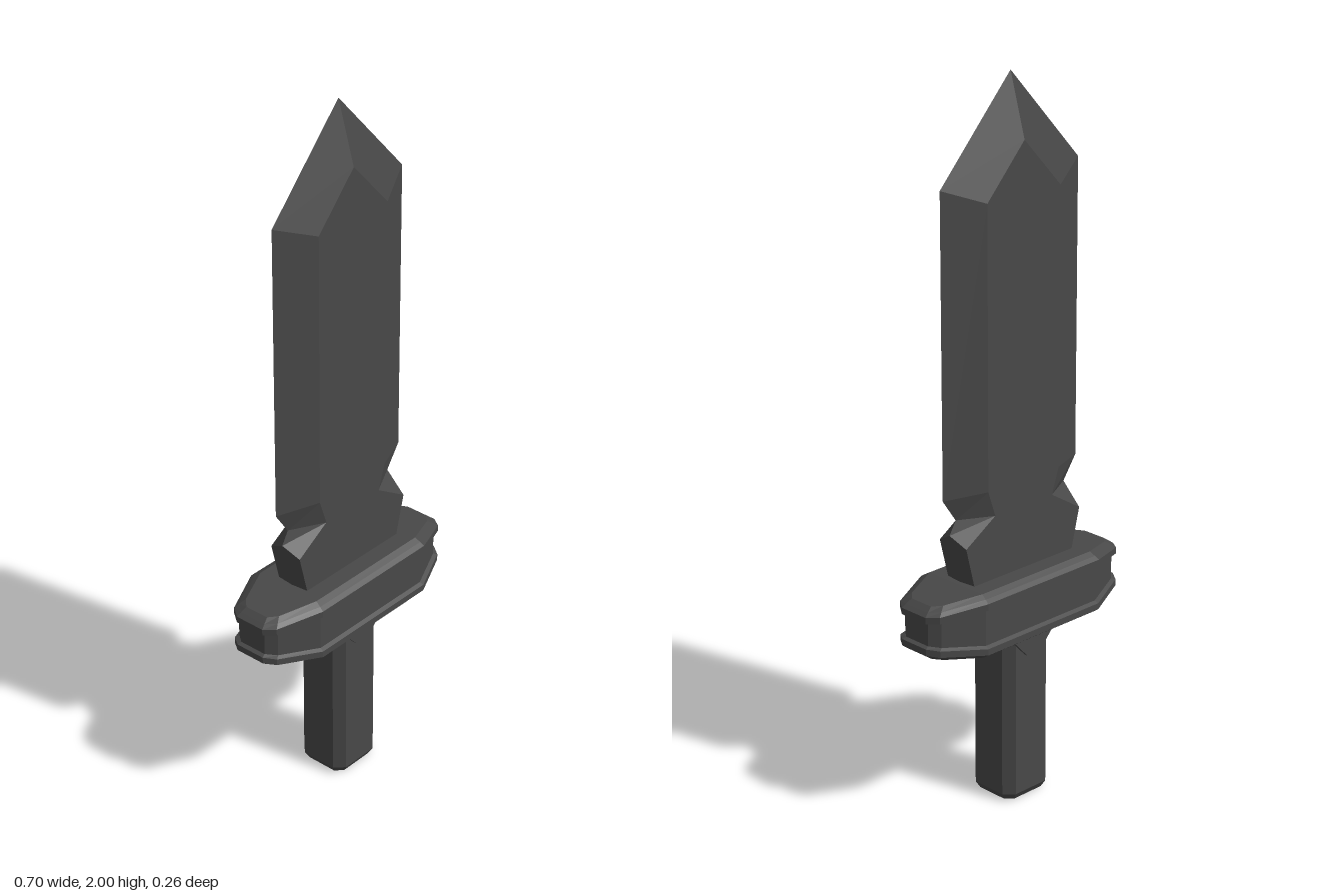
import * as THREE from 'three';

const material = new THREE.MeshStandardMaterial({ color: 0x484848, flatShading: true });

// Skin a stack of closed rings (bottom to top). Each ring starts at the left
// and runs left to right along the front, then back along the rear.
function loft(name, rings) {
  const pos = [];
  const area = new THREE.Triangle();
  const tri = (a, b, c) => {
    if (area.set(a, b, c).getArea() > 1e-8) pos.push(...a, ...b, ...c);
  };
  const quad = (a, b, c, d) => { tri(a, b, c); tri(a, c, d); };
  const n = rings[0].length;
  for (let r = 0; r + 1 < rings.length; r++) {
    const lo = rings[r], hi = rings[r + 1];
    for (let i = 0; i < n; i++) {
      const j = (i + 1) % n;
      quad(lo[i], lo[j], hi[j], hi[i]);
    }
  }
  // end caps, built as strips between front and rear points
  const bottom = rings[0], top = rings[rings.length - 1];
  for (let i = 0; i < n / 2 - 1; i++) {
    const k = n - 1 - i;
    quad(top[i], top[i + 1], top[k - 1], top[k]);
    quad(bottom[k], bottom[k - 1], bottom[i + 1], bottom[i]);
  }
  const geometry = new THREE.BufferGeometry();
  geometry.setAttribute('position', new THREE.Float32BufferAttribute(pos, 3));
  geometry.computeVertexNormals();
  const mesh = new THREE.Mesh(geometry, material);
  mesh.name = name;
  return mesh;
}

const v = (x, y, z) => new THREE.Vector3(x, y, z);

// Mirror a quarter outline (side to front, x and z positive) into a full ring.
function fullRing(quarter, yAt) {
  const left = quarter.map(([x, z]) => [-x, z]);
  const right = [...quarter].reverse();
  const front = [...left, ...right];
  const back = [...front].reverse().map(([x, z]) => [x, -z]);
  return [...front, ...back].map(([x, z]) => v(x, yAt(x), z));
}

// Blade: flat faces with bevelled edges, notched above the guard
function blade() {
  const t = 0.05;
  // [face half width, face y, edge half width, edge y]
  const rows = [
    [0.175, 0.64, 0.18, 0.64],
    [0.21, 0.78, 0.222, 0.808],
    [0.105, 0.845, 0.2, 0.845],
    [0.13, 0.918, 0.245, 0.91],
    [0.13, 1.69, 0.245, 1.735],
    [0, 1.83, 0, 2],
  ];
  return loft('blade', rows.map(([f, fy, e, ey]) => [
    v(-e, ey, 0), v(-f, fy, t), v(f, fy, t),
    v(e, ey, 0), v(f, fy, -t), v(-f, fy, -t),
  ]));
}

// Guard: elongated plate with two rims, a shallow groove and drooping ends
function guard() {
  const mid = 0.577;
  // [inset, height from the middle], upper half
  const upper = [[0.011, 0.05], [0, 0.056], [0, 0.074], [0.012, 0.082], [0.028, 0.091]];
  const profile = [...[...upper].reverse().map(([i, h]) => [i, -h]), ...upper];
  return loft('guard', profile.map(([inset, h]) => fullRing(
    [[0.352 - inset, 0.045 - inset * 0.3], [0.33 - inset, 0.076 - inset * 0.6], [0.207 - inset * 0.2, 0.128 - inset]],
    (x) => mid + h - Math.sign(h) * 0.02 * Math.max(0, Math.abs(x) - 0.2) / 0.15,
  )));
}

// Grip: square bar with chamfered corners and a small bevel at the foot
function grip() {
  const levels = [[0, 0.012], [0.02, 0], [0.5, 0]];
  return loft('grip', levels.map(([y, inset]) => fullRing(
    [[0.083 - inset, 0.052 - inset * 0.5], [0.057 - inset * 0.5, 0.078 - inset]],
    () => y,
  )));
}

// Collar: pointed block between the guard and the grip
function collar() {
  const shape = new THREE.Shape([
    [-0.085, 0.495], [-0.025, 0.43], [0, 0.42], [0.025, 0.43], [0.085, 0.495],
  ].map(([x, y]) => new THREE.Vector2(x, y)));
  const geometry = new THREE.ExtrudeGeometry(shape, { depth: 0.176, bevelEnabled: false });
  geometry.translate(0, 0, -0.088);
  const mesh = new THREE.Mesh(geometry, material);
  mesh.name = 'collar';
  return mesh;
}

export function createModel() {
  const group = new THREE.Group();
  group.name = 'shortSword';
  group.add(blade(), guard(), collar(), grip());
  return group;
}
